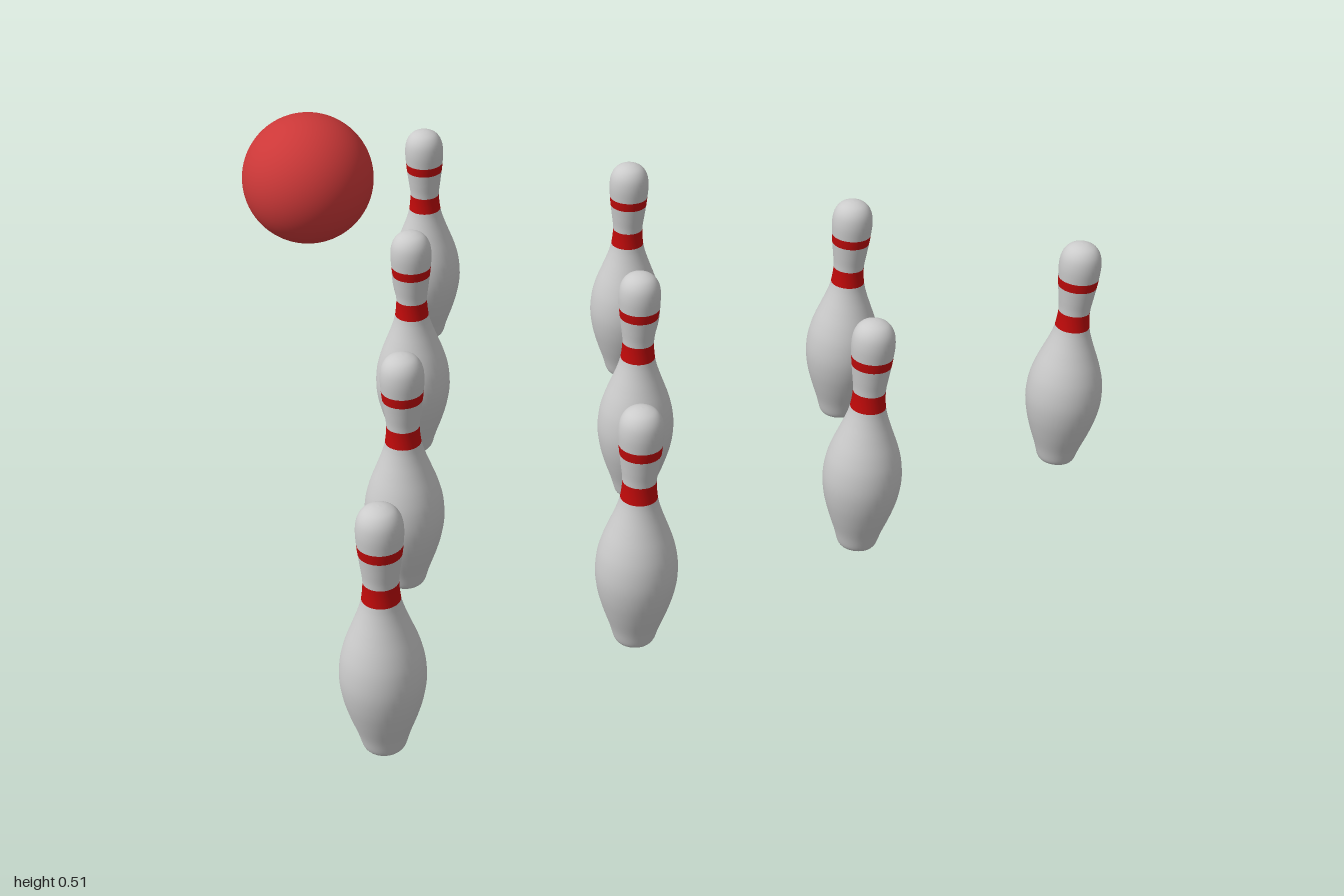
import * as THREE from 'three';

const white = new THREE.MeshStandardMaterial({ color: 0xcccccc });
const bandRed = new THREE.MeshStandardMaterial({ color: 0xc00a0a });
const ballRed = new THREE.MeshStandardMaterial({ color: 0xcc3838 });
const holeRed = new THREE.MeshStandardMaterial({ color: 0x780c14, side: THREE.DoubleSide });

// Pin outline: [radius, height] from base to crown
const outline = [
  [0.035, 0], [0.040, 0.008], [0.048, 0.035], [0.062, 0.075], [0.073, 0.115], [0.078, 0.155],
  [0.075, 0.195], [0.066, 0.23], [0.053, 0.265], [0.042, 0.295], [0.035, 0.322], [0.032, 0.358],
  [0.0355, 0.39], [0.039, 0.417], [0.041, 0.437], [0.0425, 0.465], [0.039, 0.488],
  [0.029, 0.504], [0.014, 0.512], [0, 0.514],
];
const profile = new THREE.SplineCurve(outline.map(([r, y]) => new THREE.Vector2(r, y)));

// Lathe a stretch of the outline between two control points
function pinSlice(from, to) {
  const pts = [];
  const steps = (to - from) * 4;
  for (let i = 0; i <= steps; i++) {
    const p = profile.getPoint((from + i / 4) / (outline.length - 1));
    p.x = Math.max(p.x, 0);
    pts.push(p);
  }
  return new THREE.LatheGeometry(pts, 40);
}

const pinParts = [
  ['pinBody', pinSlice(0, 10), white],
  ['lowerBand', pinSlice(10, 11), bandRed],
  ['pinNeck', pinSlice(11, 13), white],
  ['upperBand', pinSlice(13, 14), bandRed],
  ['pinHead', pinSlice(14, outline.length - 1), white],
  ['pinBase', new THREE.CircleGeometry(0.035, 40).rotateX(Math.PI / 2), white],
];

function makePin(x, z) {
  const pin = new THREE.Group();
  pin.name = 'pin';
  for (const [name, geometry, material] of pinParts) {
    const mesh = new THREE.Mesh(geometry, material);
    mesh.name = name;
    pin.add(mesh);
  }
  pin.position.set(x, 0, z);
  return pin;
}

// Ball: a sphere with round openings, each lined by a cup
const R = 0.161, HOLE = 0.0175, SNAP = 0.003, DEPTH = 0.07;
const holeAxes = [[0.012, 0.101, -0.124], [0.057, 0.087, -0.122], [0.018, -0.023, -0.157]]
  .map((a) => new THREE.Vector3(...a).normalize());
const rimHeight = Math.sqrt(R * R - HOLE * HOLE);

// Returns 'in', 'rim' or 'out'; rim vertices are moved onto the hole's circle
function fitToHoles(p) {
  for (const axis of holeAxes) {
    const d = p.dot(axis);
    const side = p.clone().addScaledVector(axis, -d);
    const r = side.length();
    if (d < 0 || r > HOLE + SNAP) continue;
    if (r < HOLE - SNAP) return 'in';
    p.copy(side.setLength(HOLE)).addScaledVector(axis, rimHeight);
    return 'rim';
  }
  return 'out';
}

function ballShell() {
  const source = new THREE.IcosahedronGeometry(R, 40).attributes.position;
  const positions = [], normals = [];
  for (let i = 0; i < source.count; i += 3) {
    const tri = [0, 1, 2].map((k) => new THREE.Vector3().fromBufferAttribute(source, i + k));
    const kinds = tri.map(fitToHoles);
    if (kinds.includes('in') || kinds.every((k) => k === 'rim')) continue;
    for (const p of tri) {
      positions.push(p.x, p.y, p.z);
      normals.push(p.x / R, p.y / R, p.z / R);
    }
  }
  const geometry = new THREE.BufferGeometry();
  geometry.setAttribute('position', new THREE.Float32BufferAttribute(positions, 3));
  geometry.setAttribute('normal', new THREE.Float32BufferAttribute(normals, 3));
  return geometry;
}

function makeBall() {
  const ball = new THREE.Group();
  ball.name = 'ball';
  const shell = new THREE.Mesh(ballShell(), ballRed);
  shell.name = 'ballShell';
  ball.add(shell);

  const wall = new THREE.CylinderGeometry(HOLE, HOLE, DEPTH, 32, 1, true).translate(0, rimHeight - DEPTH / 2, 0);
  const floor = new THREE.CircleGeometry(HOLE, 32).rotateX(-Math.PI / 2).translate(0, rimHeight - DEPTH, 0);
  holeAxes.forEach((axis, i) => {
    const hole = new THREE.Group();
    hole.name = i < 2 ? 'fingerHole' : 'thumbHole';
    hole.add(new THREE.Mesh(wall, holeRed), new THREE.Mesh(floor, holeRed));
    hole.children[0].name = 'holeWall';
    hole.children[1].name = 'holeFloor';
    hole.quaternion.setFromUnitVectors(new THREE.Vector3(0, 1, 0), axis);
    ball.add(hole);
  });
  ball.position.set(0.046, R + 0.002, -0.839);
  return ball;
}

export function createModel() {
  const model = new THREE.Group();
  model.name = 'bowlingSet';

  // Triangle of pins: one row per entry, [z, x positions]
  const rows = [
    [-0.283, [0.028]],
    [0.108, [-0.259, 0.304]],
    [0.513, [-0.54, 0.024, 0.587]],
    [0.918, [-0.845, -0.282, 0.282, 0.845]],
  ];
  for (const [z, xs] of rows) for (const x of xs) model.add(makePin(x, z));

  model.add(makeBall());
  return model;
}
